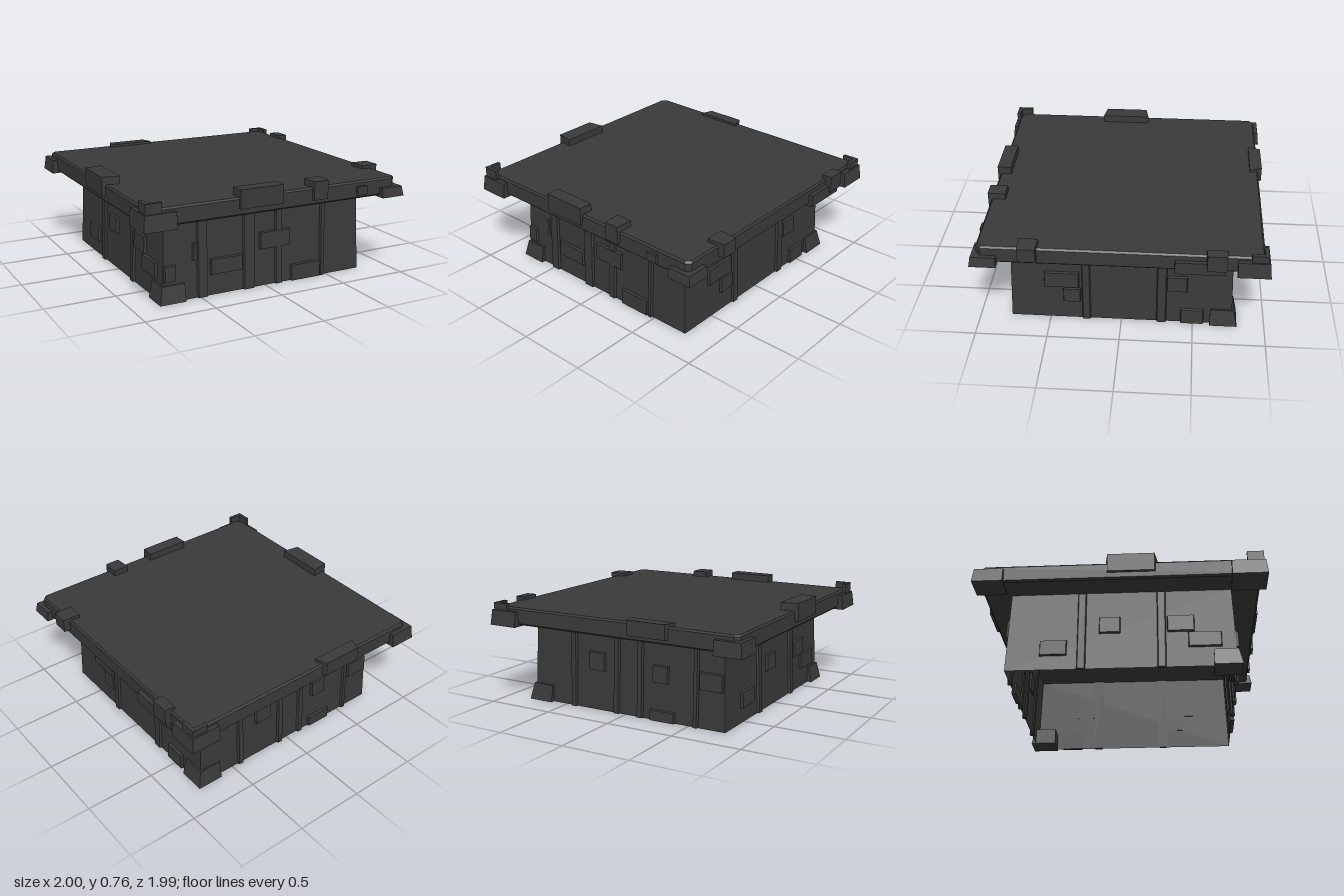
import * as THREE from 'three';

const material = new THREE.MeshStandardMaterial({ color: 0x3a3a3a, flatShading: true, side: THREE.DoubleSide });

// Body wall distance from the axis: it leans inwards with height
const wallAt = (y) => 0.777 - 0.035 * y;

function add(parent, name, geometry) {
  const mesh = new THREE.Mesh(geometry, material);
  mesh.name = name;
  parent.add(mesh);
  return mesh;
}

// Box between two corners whose vertices are then moved by a rule
function shapedBox(x0, x1, y0, y1, z0, z1, rule) {
  const g = new THREE.BoxGeometry(x1 - x0, y1 - y0, z1 - z0);
  g.translate((x0 + x1) / 2, (y0 + y1) / 2, (z0 + z1) / 2);
  if (rule) {
    const p = g.attributes.position;
    const v = new THREE.Vector3();
    for (let i = 0; i < p.count; i++) {
      v.fromBufferAttribute(p, i);
      rule(v);
      p.setXYZ(i, v.x, v.y, v.z);
    }
    g.computeVertexNormals();
  }
  return g;
}

// Raised plate on a wall, following its slope, with a small bevel
function wallPlate(u0, u1, y0, y1, depth, bevel = 0.008) {
  const um = (u0 + u1) / 2, ym = (y0 + y1) / 2;
  return shapedBox(u0, u1, y0, y1, 0, 1, (v) => {
    const outer = v.z > 0.5;
    v.z = wallAt(v.y) + (outer ? depth : -0.012);
    if (outer) {
      v.x -= Math.sign(v.x - um) * bevel;
      if (v.y > 0.001) v.y -= Math.sign(v.y - ym) * bevel;
    }
  });
}

// Clip gripping the slab rim; its outer face is narrower by taper
function rimClip(u0, u1, y0, y1, z0, z1, taper = 0.005) {
  const um = (u0 + u1) / 2;
  return shapedBox(u0, u1, y0, y1, z0, z1, (v) => {
    if (v.z > (z0 + z1) / 2) v.x -= Math.sign(v.x - um) * taper;
  });
}

// Each wall: ribs [u0, u1], panels [u0, u1, y0, y1], clips [u0, u1, y0, y1, z0, z1, taper]
const WALLS = [
  {
    name: 'front', turn: 0,
    ribs: [[-0.53, -0.44], [-0.18, -0.08], [0.07, 0.14], [0.44, 0.49]],
    panels: [[-0.43, -0.18, 0.14, 0.26], [-0.05, 0.2, 0.26, 0.39], [0.2, 0.45, 0, 0.12],
      [-0.56, -0.52, 0.26, 0.39], [-0.77, -0.68, 0.14, 0.26]],
    clips: [[-0.31, 0.02, 0.63, 0.76, 0.87, 0.97], [0.25, 0.37, 0.62, 0.75, 0.85, 0.975],
      [0.61, 0.7, 0.61, 0.67, 0.9, 0.972]],
  },
  {
    name: 'right', turn: Math.PI / 2,
    ribs: [[-0.28, -0.21], [0.24, 0.32]],
    panels: [[-0.54, -0.29, 0.26, 0.39], [-0.41, -0.28, 0.14, 0.26], [0.31, 0.46, 0.26, 0.39],
      [0.41, 0.58, 0, 0.12]],
    clips: [[-0.67, -0.54, 0.63, 0.73, 0.87, 1.0], [0.57, 0.71, 0.61, 0.73, 0.92, 0.995],
      [0.36, 0.7, 0.57, 0.66, 0.9, 0.98]],
  },
  {
    name: 'back', turn: Math.PI,
    ribs: [[-0.46, -0.4], [-0.1, -0.04], [0.09, 0.15], [0.53, 0.58]],
    panels: [[-0.3, -0.16, 0.28, 0.42], [0.22, 0.35, 0.26, 0.39], [0.2, 0.4, 0, 0.08],
      [0.58, 0.76, 0.26, 0.39]],
    clips: [[0.12, 0.47, 0.62, 0.725, 0.89, 0.98, 0.03]],
  },
  {
    name: 'left', turn: -Math.PI / 2,
    ribs: [[-0.3, -0.23], [0.24, 0.31]],
    panels: [[-0.15, 0, 0.26, 0.39], [0.31, 0.5, 0.26, 0.39], [0.45, 0.68, 0.14, 0.26],
      [-0.55, -0.36, 0.1, 0.22]],
    clips: [[-0.1, 0.26, 0.63, 0.76, 0.85, 0.975, 0.02]],
  },
];

// Rim corner guards: signs, reach along x and z, top of skirt, top of raised edge
const GUARDS = [
  [-1, 1, 0.23, 0.24, 0.68, 0.75],
  [1, -1, 0.22, 0.22, 0.68, 0.73],
  [-1, -1, 0.2, 0.21, 0.67, 0],
  [1, 1, 0.18, 0.18, 0.64, 0],
];

export function createModel() {
  const model = new THREE.Group();
  model.name = 'raisedPlatform';

  // Hollow body, open below: four leaning walls
  for (const w of WALLS) {
    const wall = new THREE.Group();
    wall.name = w.name + 'Wall';
    wall.rotation.y = w.turn;
    model.add(wall);

    const sheet = new THREE.PlaneGeometry(2, 0.59);
    sheet.translate(0, 0.295, 0);
    const p = sheet.attributes.position;
    for (let i = 0; i < p.count; i++) {
      const d = wallAt(p.getY(i));
      p.setXYZ(i, Math.sign(p.getX(i)) * d, p.getY(i), d);
    }
    sheet.computeVertexNormals();
    add(wall, 'wallSheet', sheet);

    for (const [a, b] of w.ribs) add(wall, 'rib', wallPlate(a, b, 0, 0.585, 0.016, 0.012));
    for (const q of w.panels) add(wall, 'panel', wallPlate(...q, 0.018));
    for (const c of w.clips) add(wall, 'rimClip', rimClip(...c));
  }

  // Sloping foot blocks on two opposite corners
  for (const [sx, sz] of [[-1, 1], [1, -1]]) {
    const foot = shapedBox(0.62, 0.81, 0, 0.12, 0.62, 0.81, (v) => {
      if (v.y > 0.06) {
        if (v.x > 0.7) v.x -= 0.025;
        if (v.z > 0.7) v.z -= 0.025;
      }
    });
    const mesh = add(model, 'cornerFoot', foot);
    mesh.rotation.y = sx > 0 ? Math.PI / 2 : -Math.PI / 2;
  }

  // Top slab with clipped corners and a narrow bevelled rim
  const h = 0.94, c = 0.025;
  const outline = new THREE.Shape([
    [h - c, -h], [h, c - h], [h, h - c], [h - c, h], [c - h, h], [-h, h - c], [-h, c - h], [c - h, -h],
  ].map(([x, y]) => new THREE.Vector2(x, y)));
  const slab = new THREE.ExtrudeGeometry(outline, {
    depth: 0.1, bevelThickness: 0.012, bevelSize: 0.012, bevelSegments: 1,
  });
  slab.rotateX(-Math.PI / 2);
  slab.translate(0, 0.594, 0);
  add(model, 'topSlab', slab);

  // Guards around the slab corners, with raised edges on two of them
  for (const [sx, sz, lx, lz, top, raised] of GUARDS) {
    const range = (s, a, b) => (s > 0 ? [a, b] : [-b, -a]);
    const slope = (v) => {
      if (v.y < 0.62) return;
      if (Math.abs(v.x) > 0.97) v.x -= sx * 0.012;
      if (Math.abs(v.z) > 0.97) v.z -= sz * 0.012;
    };
    const guard = (name, x, z, y0, y1) =>
      add(model, name, shapedBox(...range(sx, ...x), y0, y1, ...range(sz, ...z), slope));
    const r = 0.995;
    guard('cornerGuard', [r - lx, r], [r - lz, r], 0.57, top);
    if (raised) {
      guard('raisedGuardEdge', [0.86, 0.985], [0.945, 0.985], 0.66, raised);
      guard('raisedGuardEdge', [0.945, 0.985], [0.86, 0.985], 0.66, raised);
    }
  }
  return model;
}
